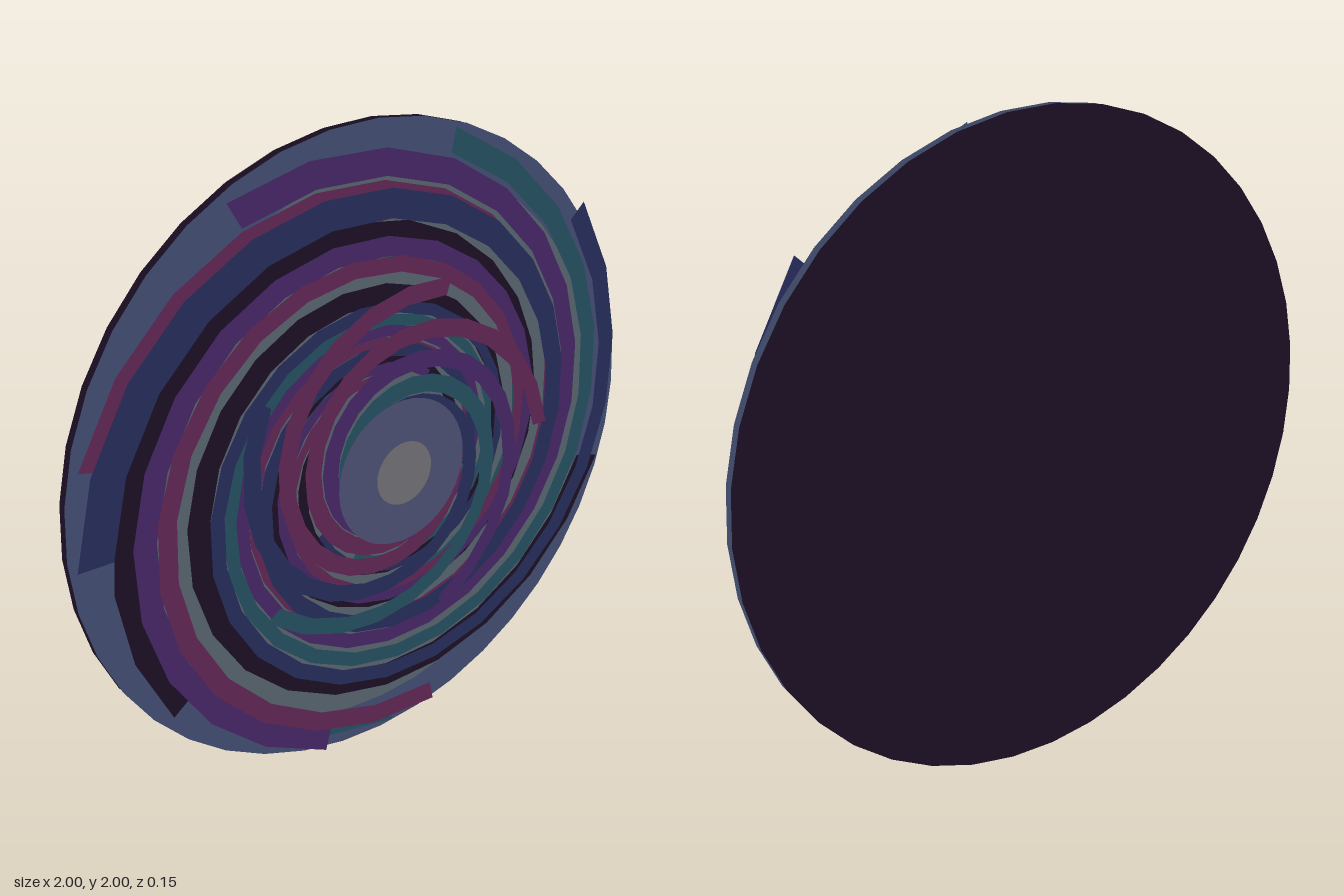
import * as THREE from 'three';

const PINK = 0x752f66, TEAL = 0x2c6073, BLUE = 0x30366f, PURPLE = 0x55307a, DARK = 0x22142c;

function flatMesh(name, geometry, color, z) {
  const material = new THREE.MeshStandardMaterial({ color, side: THREE.DoubleSide });
  const mesh = new THREE.Mesh(geometry, material);
  mesh.name = name;
  mesh.position.set(0, 1, z);
  return mesh;
}

// Flat band winding inward: start angle and sweep in degrees, dir -1 = clockwise
function spiralBand(start, radius, width, decay, sweep, dir, taper) {
  const steps = Math.round(sweep / 15);
  const pos = [], index = [];
  for (let i = 0; i <= steps; i++) {
    const turned = (sweep * i) / steps;
    const a = THREE.MathUtils.degToRad(start + dir * turned);
    const r = radius * Math.exp(-decay * turned);
    const half = (width / 2) * (taper ? r / radius : 1);
    for (const q of [r - half, r + half]) pos.push(q * Math.cos(a), q * Math.sin(a), 0);
    if (i < steps) {
      const k = i * 2;
      if (dir > 0) index.push(k, k + 1, k + 2, k + 1, k + 3, k + 2);
      else index.push(k, k + 2, k + 1, k + 1, k + 2, k + 3);
    }
  }
  const g = new THREE.BufferGeometry();
  g.setAttribute('position', new THREE.Float32BufferAttribute(pos, 3));
  g.setIndex(index);
  g.computeVertexNormals();
  return g;
}

export function createModel() {
  const model = new THREE.Group();
  model.name = 'spiralDisc';

  // Stacked round plates
  const disc = (name, r, color, z) =>
    model.add(flatMesh(name, new THREE.CircleGeometry(r, 40), color, z));
  disc('backPlate', 1, DARK, -0.075);
  disc('rimPlate', 1, 0x515e88, -0.045);
  disc('innerPlate', 0.87, 0x6a7886, -0.038);

  // Long outer arms, clockwise, from the lowest layer up: colour, angle, radius, width
  const outer = new THREE.Group();
  outer.name = 'outerArms';
  [
    [TEAL, 272, 0.95, 0.06],
    [DARK, 218, 0.91, 0.10],
    [PINK, 165, 0.95, 0.07],
    [DARK, 345, 0.90, 0.10],
    [PURPLE, 120, 0.95, 0.08],
    [PURPLE, 255, 0.94, 0.08],
    [PINK, 281, 0.92, 0.07],
    [TEAL, 77, 0.95, 0.07],
    [BLUE, 180, 0.95, 0.10],
    [BLUE, 43, 0.96, 0.07],
  ].forEach(([color, angle, r, w], i) => {
    const g = spiralBand(angle, r, w, 0.0021, 555, -1, true);
    outer.add(flatMesh('outerArm', g, color, -0.03 + i * 0.006));
  });
  model.add(outer);

  // Five short inner arms, counter-clockwise
  const inner = new THREE.Group();
  inner.name = 'innerArms';
  [PINK, PINK, BLUE, TEAL, PURPLE].forEach((color, i) => {
    const g = spiralBand(i * 72, 0.56, 0.055, 0.0034, 330, 1, false);
    inner.add(flatMesh('innerArm', g, color, 0.058 - i * 0.003));
  });
  model.add(inner);

  // Hub
  disc('hub', 0.23, 0x5c628a, 0.068);
  disc('hubCore', 0.1, 0x88888e, 0.075);
  return model;
}
